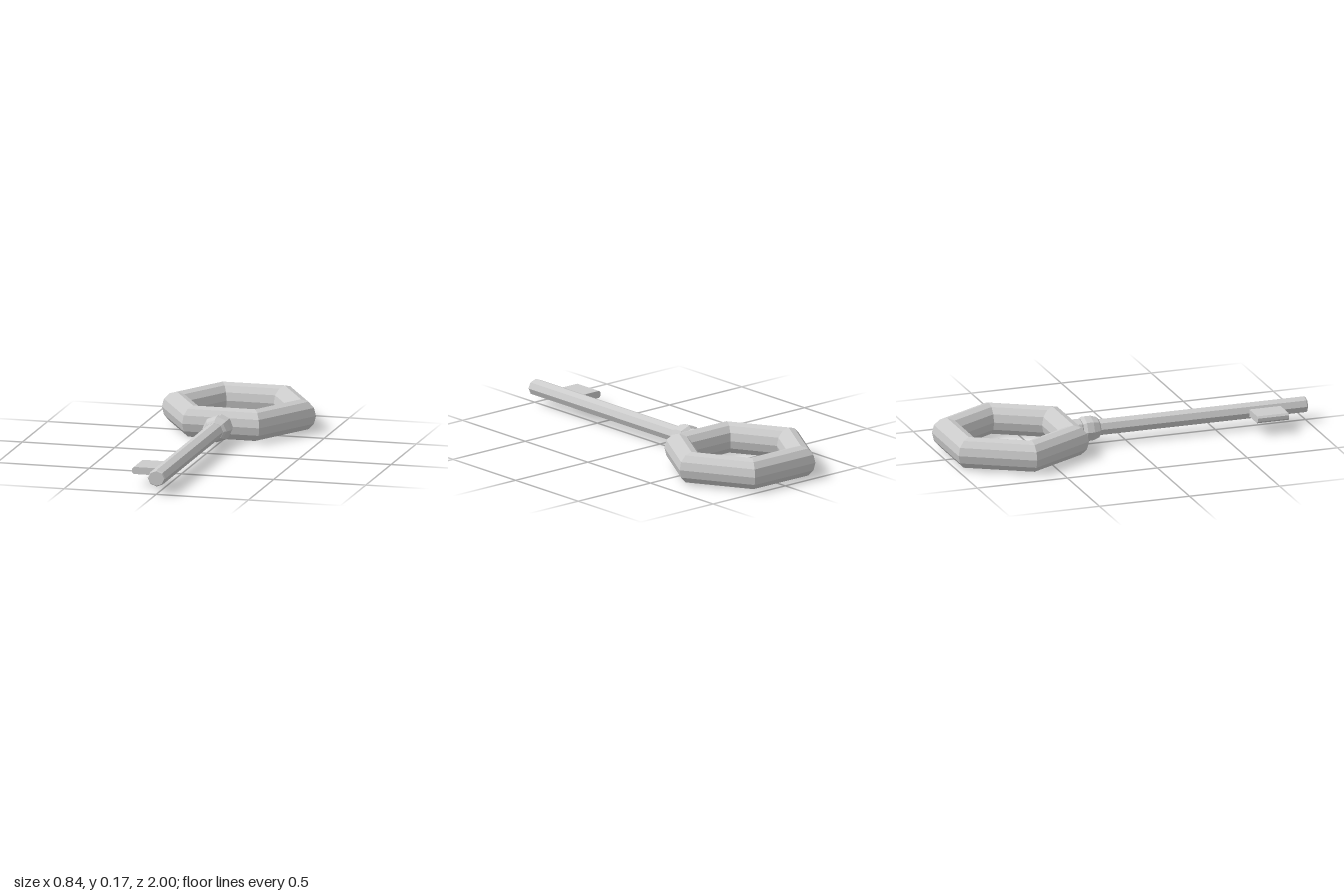
import * as THREE from 'three';

const AXIS_Y = 0.085;

export function createModel() {
  const key = new THREE.Group();
  key.name = 'key';
  const material = new THREE.MeshStandardMaterial({ color: 0xcccccc, flatShading: true });

  const add = (name, geometry) => {
    const mesh = new THREE.Mesh(geometry, material);
    mesh.name = name;
    key.add(mesh);
    return mesh;
  };

  // Eight-sided turned part along z; profile points are [radius, z]
  const turned = (name, profile, flatten) => {
    const points = profile.map(([r, z]) => new THREE.Vector2(r, z));
    const geometry = new THREE.LatheGeometry(points, 8);
    geometry.rotateX(Math.PI / 2);
    geometry.scale(1, flatten, 1);
    add(name, geometry).position.y = AXIS_Y;
  };

  // Hexagonal bow with a twelve-sided tube
  const bow = new THREE.TorusGeometry(0.3365, 0.0815, 12, 6);
  bow.rotateX(Math.PI / 2);
  bow.scale(1, 0.085 / 0.0815, 1);
  add('bow', bow).position.set(0, AXIS_Y, -0.638);

  // Bulged collar with a short neck into the bow
  turned('collar', [
    [0, -0.3], [0.066, -0.3], [0.066, -0.255], [0.061, -0.249],
    [0.077, -0.232], [0.077, -0.195], [0.064, -0.16], [0.05, -0.15], [0, -0.15],
  ], 0.9);

  // Shaft with a small bevel at the tip
  turned('shaft', [[0, -0.2], [0.048, -0.2], [0.048, 0.993], [0.043, 1], [0, 1]], 0.92);

  // Flat bit with a chamfered outer edge
  const outline = new THREE.Shape([
    [-0.02, -0.019], [-0.02, 0.019], [-0.163, 0.019],
    [-0.173, 0.009], [-0.173, -0.009], [-0.163, -0.019],
  ].map(([x, y]) => new THREE.Vector2(x, y)));
  const bit = new THREE.ExtrudeGeometry(outline, { depth: 0.174, bevelEnabled: false });
  add('bit', bit).position.set(0, AXIS_Y, 0.674);

  return key;
}
